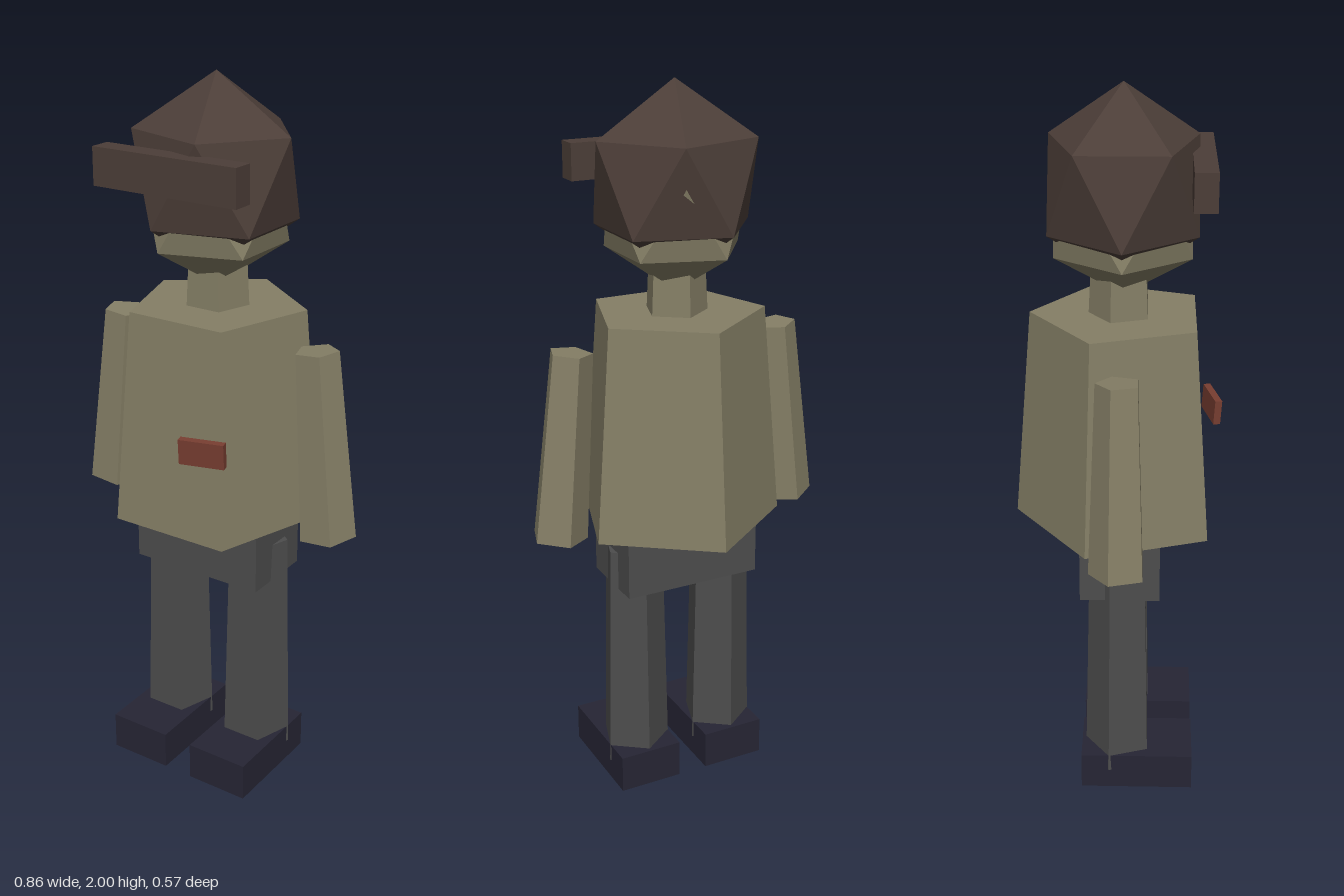
import * as THREE from 'three';

const flat = (name, color) => {
  const m = new THREE.MeshStandardMaterial({ color, flatShading: true });
  m.name = name;
  return m;
};

export function createModel() {
  const root = new THREE.Group();
  const cloth = flat('olive cloth', 0x857f66);
  const trousers = flat('grey trousers', 0x4d4d4d);
  const brown = flat('brown cap', 0x4c3e38);
  const navy = flat('navy shoes', 0x262534);
  const rust = flat('rust patch', 0x783e31);

  const add = (name, geo, mat, x, y, z) => {
    const mesh = new THREE.Mesh(geo, mat);
    mesh.name = name;
    mesh.position.set(x, y, z);
    root.add(mesh);
    return mesh;
  };
  // five-sided tapered prism with its flat side to the front
  const prism = (top, bottom, h) => new THREE.CylinderGeometry(top, bottom, h, 5).rotateY(Math.PI);
  // icosahedron standing on a corner, stretched per axis
  const ico = (x, y, z) => new THREE.IcosahedronGeometry(1, 0)
    .rotateZ(-Math.atan(2 / (1 + Math.sqrt(5)))).scale(x, y, z);
  const box = (w, h, d) => new THREE.BoxGeometry(w, h, d);

  // head and body
  add('cap', ico(0.248, 0.262, 0.23), brown, 0, 1.738, 0.015);
  add('capBrim', box(0.43, 0.1, 0.06), brown, 0, 1.775, 0.22);
  add('head', ico(0.214, 0.212, 0.212), cloth, 0, 1.655, 0.015);
  add('neck', prism(0.08, 0.09, 0.2), cloth, 0, 1.44, 0.01);
  add('jacket', prism(0.245, 0.295, 0.595), cloth, 0, 1.0945, 0.01);
  add('hips', box(0.4, 0.23, 0.22), trousers, 0, 0.735, 0.01);

  // small patch set at an angle on the jacket
  add('patch', box(0.125, 0.07, 0.02), rust, 0.123, 1.075, 0.263).rotation.set(0.06, 0.24, 0);

  // limbs on both sides
  for (const [side, s] of [['left', 1], ['right', -1]]) {
    add(side + 'Arm', prism(0.06, 0.079, 0.523), cloth, s * 0.333, 1.057, 0.01).rotation.z = s * 0.093;
    add(side + 'Leg', prism(0.085, 0.1, 0.67), trousers, s * 0.136, 0.395, 0.01);
    add(side + 'Shoe', box(0.185, 0.11, 0.32), navy, s * 0.136, 0.055, 0.06);
  }
  return root;
}
